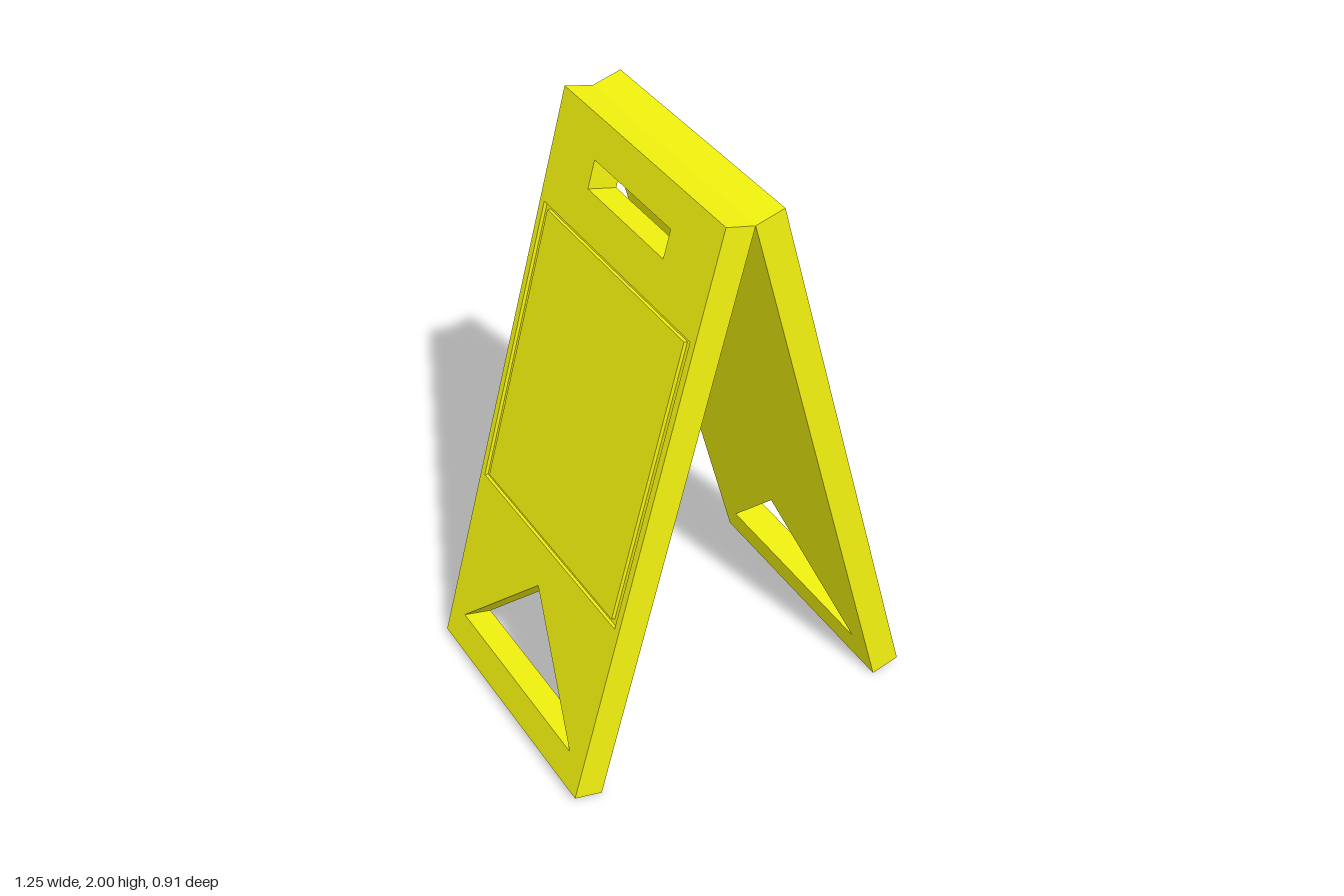
import * as THREE from 'three';

const TILT = THREE.MathUtils.degToRad(15);
const LENGTH = 2.044, HALF_WIDTH = 0.457, THICKNESS = 0.1, GROOVE = 0.012;
const APEX_Y = 1.9745;

// Outline from points; y runs down from the hinge edge as negative values
function outline(points, Type = THREE.Path) {
  return new Type(points.map(([x, y]) => new THREE.Vector2(x, y)));
}

function rect(halfWidth, top, bottom, Type) {
  return outline([[-halfWidth, -bottom], [halfWidth, -bottom], [halfWidth, -top], [-halfWidth, -top]], Type);
}

// Extrude a flat outline outwards (+x), starting at the given offset
function slab(name, shape, start, depth, material) {
  const geometry = new THREE.ExtrudeGeometry(shape, { depth, bevelEnabled: false });
  geometry.translate(0, 0, start);
  geometry.rotateY(Math.PI / 2);
  const mesh = new THREE.Mesh(geometry, material);
  mesh.name = name;
  return mesh;
}

// Full board outline with handle slot and triangular foot cut-out
function boardShape() {
  const shape = rect(HALF_WIDTH, 0, LENGTH, THREE.Shape);
  shape.holes.push(
    rect(0.219, 0.13, 0.226),
    outline([[-0.37, -1.921], [0.37, -1.921], [0, -1.533]])
  );
  return shape;
}

function createBoard(name, material) {
  const board = new THREE.Group();
  board.name = name;
  const core = THICKNESS - GROOVE;

  // Outer skin has a window, leaving a groove around the sign panel
  const skin = boardShape();
  skin.holes.push(rect(0.432, 0.376, 1.388));

  board.add(
    slab('boardCore', boardShape(), 0, core, material),
    slab('boardSkin', skin, core, GROOVE, material),
    slab('signPanel', rect(0.406, 0.391, 1.37, THREE.Shape), core, GROOVE, material)
  );
  board.rotation.z = TILT;
  board.position.y = APEX_Y;
  return board;
}

export function createModel() {
  const model = new THREE.Group();
  model.name = 'foldingFloorSign';
  const yellow = new THREE.MeshStandardMaterial({ color: 0xf2f20f });

  // Two identical boards leaning together at the top
  ['leftBoard', 'rightBoard'].forEach((name, i) => {
    const side = new THREE.Group();
    side.name = name + 'Side';
    side.add(createBoard(name, yellow));
    side.rotation.y = i * Math.PI;
    model.add(side);
  });
  return model;
}
